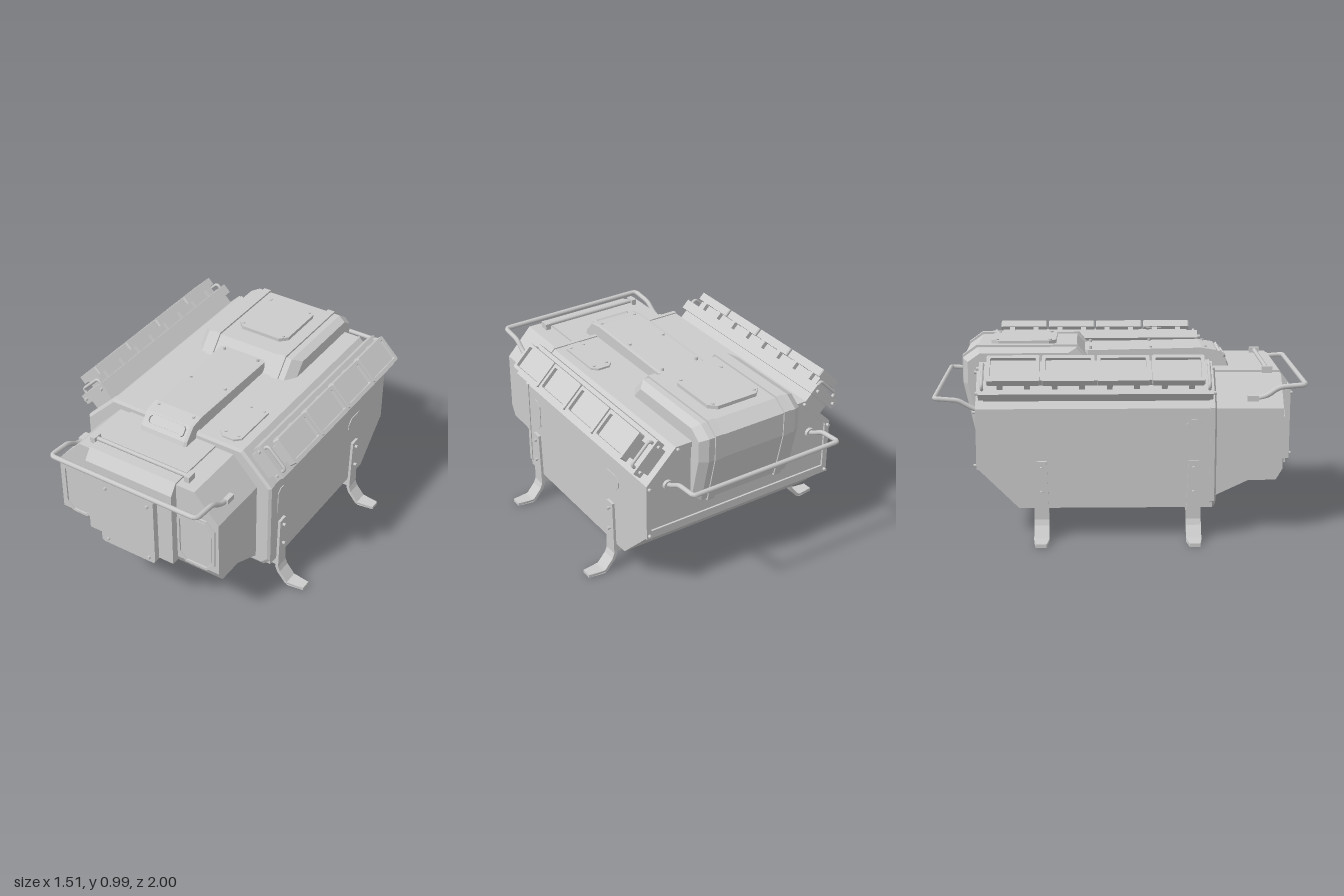
import * as THREE from 'three';
import { ConvexGeometry } from 'three/addons/geometries/ConvexGeometry.js';

const mat = new THREE.MeshStandardMaterial({ color: 0xcccccc });
const V = (x, y, z) => new THREE.Vector3(x, y, z);

function add(parent, name, geo, x = 0, y = 0, z = 0) {
  const m = new THREE.Mesh(geo, mat);
  m.name = name;
  m.position.set(x, y, z);
  parent.add(m);
  return m;
}
const box = (p, name, w, h, d, x, y, z) => add(p, name, new THREE.BoxGeometry(w, h, d), x, y, z);

// Rectangle with cut corners, as a path centred on the origin
function cutRect(w, h, c, Type = THREE.Shape) {
  const a = w / 2, b = h / 2;
  return new Type([[a, b - c], [a - c, b], [c - a, b], [-a, b - c], [-a, c - b], [c - a, -b], [a - c, -b], [a, c - b]]
    .map(([x, y]) => new THREE.Vector2(x, y)));
}
// Flat plate facing +z, optionally a frame with the given border
function plateGeo(w, h, c, depth, border = 0) {
  const s = cutRect(w, h, c);
  if (border) s.holes.push(cutRect(w - 2 * border, h - 2 * border, c * 0.8, THREE.Path));
  return new THREE.ExtrudeGeometry(s, { depth, bevelEnabled: false });
}
// Side profile of [z, y] points spanning x0..x1, narrowed by k at each end over a bevel
function hullX(profile, x0, x1, bevel = 0, k = 1) {
  const cz = profile.reduce((a, p) => a + p[0], 0) / profile.length;
  const cy = profile.reduce((a, p) => a + p[1], 0) / profile.length;
  const pts = [];
  for (const [z, y] of profile) {
    for (const x of [x0 + bevel, x1 - bevel]) pts.push(V(x, y, z));
    if (bevel) for (const x of [x0, x1]) pts.push(V(x, cy + (y - cy) * k, cz + (z - cz) * k));
  }
  return new ConvexGeometry(pts);
}
// Mirrored half section of [x, y] points placed at depth z
const section = (half, z) => half.flatMap(([x, y]) => [V(x, y, z), V(-x, y, z)]);

function bolt(parent, x, y, z, axis = 'z') {
  const b = add(parent, 'bolt', new THREE.CylinderGeometry(0.009, 0.009, 0.024, 8), x, y, z);
  if (axis === 'z') b.rotation.x = Math.PI / 2;
  if (axis === 'x') b.rotation.z = Math.PI / 2;
}
// Tube with small rounded bends through the points
function railGeo(points, r, bend = 0.03) {
  const path = new THREE.CurvePath();
  let from = points[0];
  for (let i = 1; i < points.length - 1; i++) {
    const p = points[i];
    const a = p.clone().add(points[i - 1].clone().sub(p).setLength(bend));
    const b = p.clone().add(points[i + 1].clone().sub(p).setLength(bend));
    path.add(new THREE.LineCurve3(from, a));
    path.add(new THREE.QuadraticBezierCurve3(a, p, b));
    from = b;
  }
  path.add(new THREE.LineCurve3(from, points[points.length - 1]));
  return new THREE.TubeGeometry(path, 120, r, 8);
}
const mirrorPath = half => [...half, ...half.slice().reverse().map(p => V(-p.x, p.y, p.z))];

function buildHull(g) {
  const upper = [[0.585, 0.7], [0.41, 0.875]];
  add(g, 'mainBody', new ConvexGeometry([
    ...section([[0.585, 0.165], ...upper], 0.48), ...section([[0.585, 0.165]], -0.54),
    ...section([[0.585, 0.375], ...upper], -0.75)]));
  // Front collar and rear rim
  const collar = [[0.55, 0.16], [0.59, 0.2], [0.59, 0.702], [0.413, 0.881]];
  add(g, 'frontCollar', new ConvexGeometry([...section(collar, 0.465), ...section(collar, 0.49),
    ...section([[0.54, 0.175], [0.575, 0.21], [0.575, 0.695], [0.405, 0.865]], 0.5)]));
  const ring = (w, y0, top, y1, tw, Type) => new Type([[w, y0], [w, y1], [tw, top], [-tw, top], [-w, y1], [-w, y0]]
    .map(([x, y]) => new THREE.Vector2(x, y)));
  const rim = ring(0.585, 0.375, 0.875, 0.7, 0.41, THREE.Shape);
  rim.holes.push(ring(0.555, 0.42, 0.845, 0.69, 0.4, THREE.Path));
  add(g, 'rearRim', new THREE.ExtrudeGeometry(rim, { depth: 0.012, bevelEnabled: false }), 0, 0, -0.761);
  for (const s of [-1, 1]) {
    for (const [x, y] of [[0.57, 0.395], [0.57, 0.68], [0.4, 0.86]]) bolt(g, s * x, y, -0.765);
    // Access covers on the side walls
    const tall = add(g, 'sideCover', plateGeo(0.08, 0.18, 0.025, 0.005), s * 0.584, 0.55, 0.38);
    const wide = add(g, 'sideCover', plateGeo(0.15, 0.09, 0.03, 0.005), s * 0.584, 0.56, -0.42);
    tall.rotation.y = wide.rotation.y = s * Math.PI / 2;
  }
}

function buildNose(g) {
  const top = [[0.505, 0.68], [0.36, 0.835]];
  add(g, 'nose', new ConvexGeometry([...section([[0.505, 0.29], ...top], 0.49), ...section([[0.505, 0.29]], 0.825),
    ...section([[0.505, 0.35], ...top], 0.86)]));
  add(g, 'noseSkirt', hullX([[0.49, 0.2], [0.49, 0.3], [0.68, 0.29]], -0.505, 0.505));
  add(g, 'centreHousing', hullX([[0.49, 0.33], [0.905, 0.33], [0.905, 0.785], [0.86, 0.845], [0.49, 0.845]], -0.29, 0.25));
  // Recessed lamp panels beside the housing
  for (const [x, w] of [[-0.388, 0.19], [0.37, 0.23]]) {
    add(g, 'frontPanelFrame', plateGeo(w, 0.33, 0.05, 0.012, 0.015), x, 0.515, 0.857);
    add(g, 'frontPanel', plateGeo(w - 0.05, 0.28, 0.04, 0.006), x, 0.515, 0.857);
  }
  // Bolted door
  add(g, 'frontDoor', plateGeo(0.345, 0.42, 0.012, 0.038), -0.012, 0.523, 0.903);
  for (const x of [-0.14, 0.125]) for (const y of [0.345, 0.69]) bolt(g, x, y, 0.944);
  // Hinge bar on top
  const bar = add(g, 'hingeBar', new THREE.CylinderGeometry(0.012, 0.012, 0.6, 8), -0.01, 0.855, 0.79);
  bar.rotation.z = Math.PI / 2;
  for (const x of [-0.305, 0.285]) box(g, 'hingeBracket', 0.03, 0.07, 0.055, x, 0.835, 0.79);
}

function buildRoof(g) {
  // Long cover with sloped front
  add(g, 'roofCover', hullX([[0.6, 0.84], [0.59, 0.87], [0.53, 0.935], [0.45, 0.948], [-0.19, 0.935], [-0.19, 0.86], [0.45, 0.83]],
    -0.16, 0.13, 0.015, 0.97));
  const vent = add(g, 'coverVent', plateGeo(0.23, 0.06, 0.012, 0.014, 0.01), -0.015, 0.905, 0.556);
  vent.rotation.x = -0.72;
  for (const x of [-0.125, 0.095]) for (const z of [-0.16, 0.17, 0.47]) bolt(g, x, 0.94, z, 'y');
  const hatch = add(g, 'roofHatch', plateGeo(0.13, 0.33, 0.03, 0.014), 0.295, 0.872, 0.285);
  hatch.rotation.x = -Math.PI / 2;
  for (const x of [0.255, 0.335]) for (const z of [0.16, 0.41]) bolt(g, x, 0.879, z, 'y');
}

function buildBin(g) {
  const profile = [[-0.15, 0.87], [-0.235, 0.968], [-0.77, 0.968], [-0.845, 0.915], [-0.845, 0.78], [-0.785, 0.515], [-0.7, 0.515]];
  add(g, 'rearBin', hullX(profile, -0.318, 0.312, 0.045, 0.88));
  const wide = profile.map(([z, y]) => [-0.5 + (z + 0.5) * 1.02, 0.75 + (y - 0.75) * 1.05]);
  for (const x of [-0.22, 0.21]) add(g, 'binStrap', hullX(wide, x - 0.022, x + 0.022));
  const lid = add(g, 'binLid', plateGeo(0.32, 0.355, 0.04, 0.022), -0.005, 0.966, -0.525);
  lid.rotation.x = -Math.PI / 2;
  for (const x of [-0.135, 0.125]) for (const z of [-0.67, -0.38]) bolt(g, x, 0.982, z, 'y');
}

function buildRails(g) {
  add(g, 'frontRail', railGeo(mirrorPath([V(0.4, 0.72, 0.7), V(0.455, 0.72, 0.7), V(0.455, 0.735, 0.77),
    V(0.455, 0.785, 0.84), V(0.455, 0.797, 0.982)]), 0.014));
  add(g, 'rearRail', railGeo(mirrorPath([V(0.455, 0.66, -0.74), V(0.455, 0.68, -0.79), V(0.455, 0.72, -0.86),
    V(0.455, 0.73, -0.987)]), 0.013, 0.02));
  for (const s of [-1, 1]) {
    box(g, 'frontRailMount', 0.07, 0.045, 0.06, s * 0.44, 0.72, 0.7);
    const flange = add(g, 'rearRailFlange', new THREE.CylinderGeometry(0.028, 0.028, 0.02, 12), s * 0.455, 0.665, -0.757);
    flange.rotation.x = Math.PI / 2;
  }
}

// Tilted rack of four framed panes along the shoulder; local y points away from the body
function buildRack(g, side) {
  const rack = new THREE.Group();
  rack.name = side > 0 ? 'leftRack' : 'rightRack';
  rack.rotation.z = -side * Math.PI / 4;
  g.add(rack);
  const u = s => -side * s;
  box(rack, 'rackBase', 0.15, 0.075, 1.18, u(0.205), 0.93, -0.13);
  box(rack, 'rackBeam', 0.205, 0.056, 1.215, u(0.203), 0.99, -0.133);
  box(rack, 'rackSpacer', 0.1, 0.05, 1.1, u(0.206), 1.04, -0.133);
  for (let i = 0; i < 4; i++) {
    const z = 0.292 - i * 0.283;
    const frame = add(rack, 'paneFrame', plateGeo(0.16, 0.272, 0.006, 0.045, 0.018), u(0.206), 1.06, z);
    frame.rotation.x = -Math.PI / 2;
    box(rack, 'pane', 0.13, 0.025, 0.24, u(0.206), 1.072, z);
    for (const dz of [-0.07, 0.07]) box(rack, 'paneClip', 0.15, 0.042, 0.03, u(0.206), 1.039, z + dz);
  }
  for (const z of [0.48, -0.745]) for (const s of [0.125, 0.28]) bolt(rack, u(s), 0.99, z);
  for (const z of [0.455, -0.72]) {
    const loop = [V(u(0.13), 1.0, z), V(u(0.13), 1.045, z), V(u(0.28), 1.045, z), V(u(0.28), 1.0, z)];
    add(rack, 'endLoop', railGeo(loop, 0.009, 0.02));
  }
}

function buildLegs(g) {
  // Bent strap from wall to foot, as an edge outline in x and y
  const outline = [[0.585, 0.42], [0.6, 0.42], [0.6, 0.105], [0.612, 0.075], [0.658, 0.02], [0.672, 0.018], [0.755, 0.018],
    [0.755, 0], [0.665, 0], [0.645, 0.008], [0.595, 0.068], [0.582, 0.1]];
  for (const z of [0.38, -0.42]) {
    for (const s of [-1, 1]) {
      const pts = outline.map(([x, y]) => new THREE.Vector2(s * x, y));
      const geo = new THREE.ExtrudeGeometry(new THREE.Shape(pts), { depth: 0.08, bevelEnabled: false });
      // Taper the strap's top and the toe
      const p = geo.attributes.position;
      for (let i = 0; i < p.count; i++) {
        const end = p.getY(i) > 0.41 || Math.abs(p.getX(i)) > 0.75;
        p.setZ(i, (p.getZ(i) - 0.04) * (end ? 0.7 : 1));
      }
      geo.computeVertexNormals();
      add(g, 'leg', geo, 0, 0, z);
      for (const y of [0.255, 0.385]) bolt(g, s * 0.604, y, z, 'x');
    }
    box(g, 'crossRail', 1.17, 0.035, 0.075, 0, 0.15, z);
    box(g, 'crossRailFoot', 1.17, 0.04, 0.045, 0, 0.118, z);
  }
}

export function createModel() {
  const g = new THREE.Group();
  g.name = 'equipmentPod';
  for (const build of [buildHull, buildNose, buildRoof, buildBin, buildRails, buildLegs]) build(g);
  for (const side of [-1, 1]) buildRack(g, side);
  return g;
}
